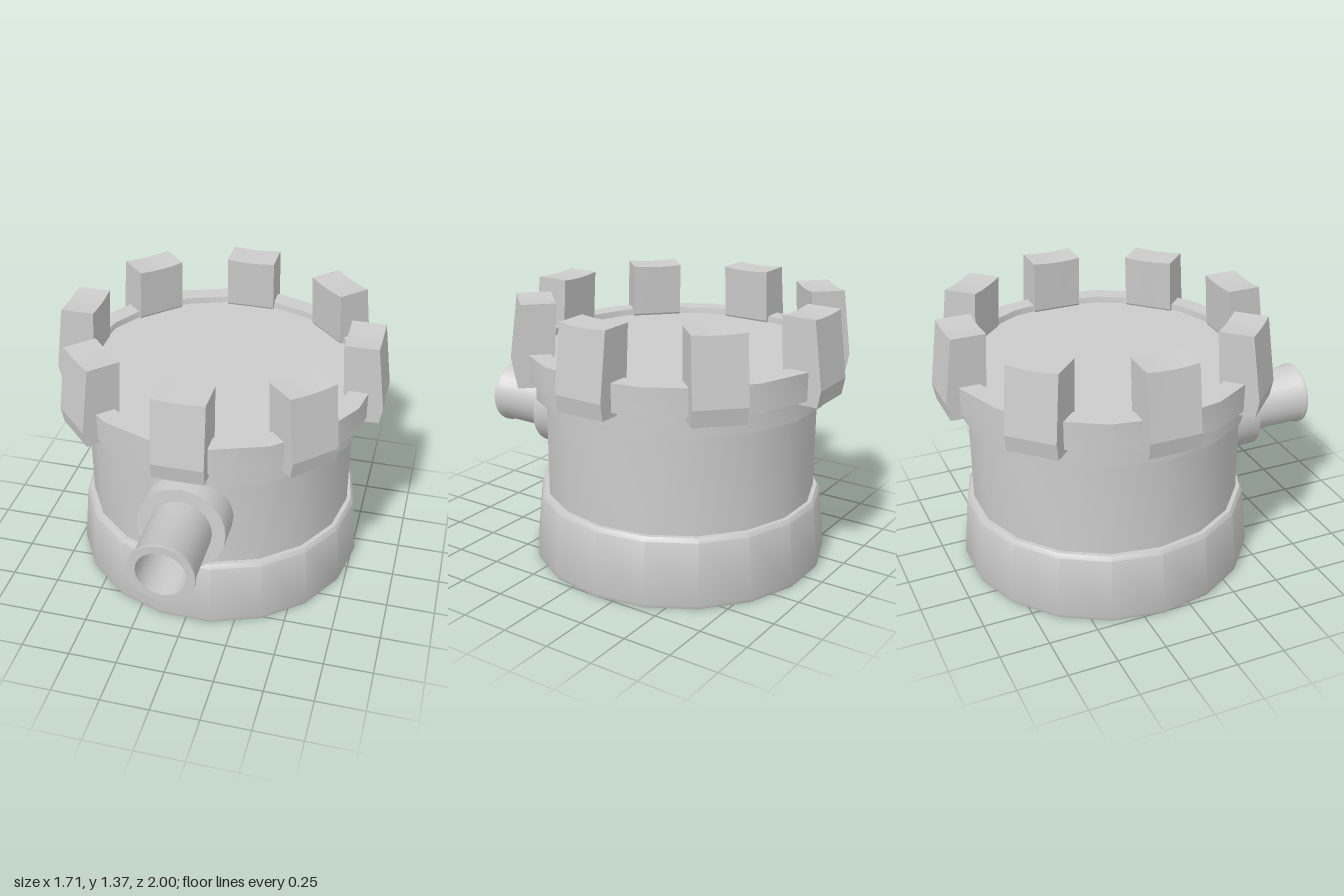
import * as THREE from 'three';
import { toCreasedNormals } from 'three/addons/utils/BufferGeometryUtils.js';

const CENTRE_Z = -0.147;
const NOZZLE_Y = 0.642;

export function createModel() {
  const model = new THREE.Group();
  const material = new THREE.MeshStandardMaterial({ color: 0xcccccc });

  const add = (name, geometry, parent, crease = 0.6) => {
    const mesh = new THREE.Mesh(toCreasedNormals(geometry, crease), material);
    mesh.name = name;
    parent.add(mesh);
    return mesh;
  };
  // Revolve [radius, height] pairs, outside upward then inside downward
  const lathe = (points, sides = 18) =>
    new THREE.LatheGeometry(points.map(([r, y]) => new THREE.Vector2(r, y)), sides).rotateY(Math.PI / 2);

  const tower = new THREE.Group();
  tower.name = 'tower';
  tower.position.z = CENTRE_Z;
  model.add(tower);

  // Flared hollow base skirt
  add('baseSkirt', lathe([
    [0.745, 0], [0.76, 0], [0.767, 0.02], [0.737, 0.335], [0.722, 0.356],
    [0.69, 0.356], [0.72, 0.1], [0.745, 0],
  ]), tower);

  // Cylindrical wall, open below
  add('wall', lathe([[0.68, 0.345], [0.7, 0.345], [0.7, 0.9], [0.68, 0.9], [0.68, 0.345]]), tower);

  // Two stepped collars below the battlements
  add('lowerCollar', lathe([[0.68, 0.87], [0.75, 0.87], [0.75, 1], [0.68, 1], [0.68, 0.87]]), tower);
  add('upperCollar', lathe([[0.69, 0.98], [0.8, 0.98], [0.8, 1.122], [0.7, 1.122], [0.69, 1.05], [0.69, 0.98]]), tower);

  // Roof deck, sunk slightly inside the upper collar
  add('roofDeck', new THREE.CylinderGeometry(0.71, 0.71, 0.09, 18).rotateY(Math.PI / 2).translate(0, 1.045, 0), tower);

  // Eight leaning merlons with a slightly dished top
  const profile = new THREE.Shape([
    [0.735, 0.955], [0.84, 0.955], [0.856, 1.04], [0.812, 1.373], [0.64, 1.373], [0.655, 1.1],
  ].map(([r, y]) => new THREE.Vector2(r, y)));
  const merlon = new THREE.ExtrudeGeometry(profile, { depth: 0.26, steps: 4, bevelEnabled: false }).translate(0, 0, -0.13);
  const p = merlon.attributes.position;
  for (let i = 0; i < p.count; i++) {
    if (p.getY(i) > 1.3) p.setY(i, 1.373 - 0.008 * (1 - (p.getZ(i) / 0.13) ** 2));
  }
  for (let i = 0; i < 8; i++) {
    add('merlon', merlon, tower, 0.2).rotation.y = (i * Math.PI) / 4;
  }

  // Nozzle on the front: each profile is [radius, z]
  const nozzle = new THREE.Group();
  nozzle.name = 'nozzle';
  nozzle.position.y = NOZZLE_Y;
  model.add(nozzle);

  // Flange, sheared so its lower edge reaches further forward
  const flange = lathe([[0.13, 0.45], [0.225, 0.45], [0.225, 0.665], [0.13, 0.665], [0.13, 0.45]], 24).rotateX(Math.PI / 2);
  const f = flange.attributes.position;
  for (let i = 0; i < f.count; i++) f.setZ(i, f.getZ(i) - f.getY(i) * 0.085);
  add('nozzleFlange', flange, nozzle);

  // Open pipe with a small lip at the mouth
  add('nozzlePipe', lathe([
    [0.125, 0.43], [0.157, 0.43], [0.157, 0.965], [0.166, 0.98], [0.166, 1],
    [0.125, 1], [0.125, 0.43],
  ], 24).rotateX(Math.PI / 2), nozzle);

  return model;
}
